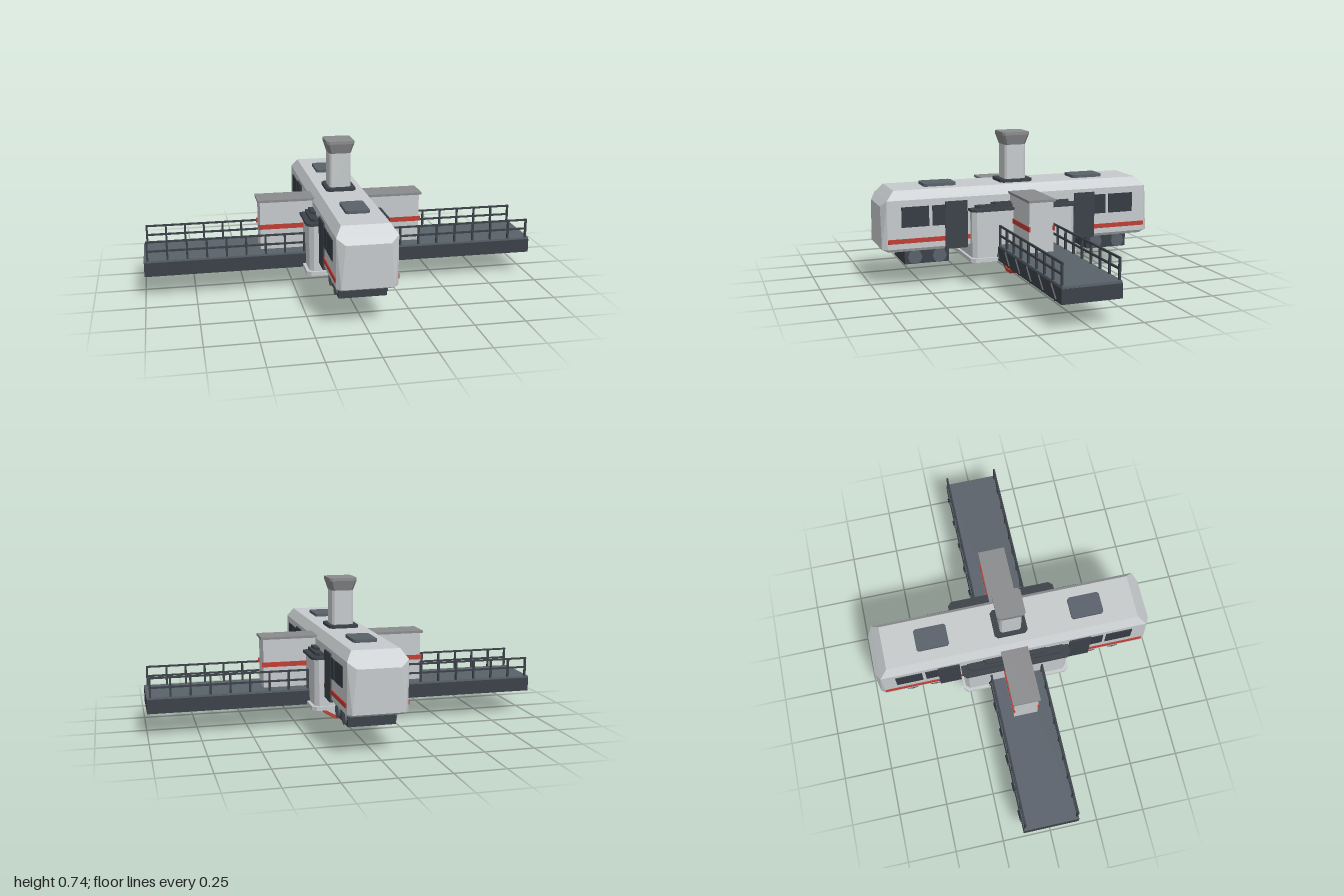
import * as THREE from 'three';
import { ConvexGeometry } from 'three/addons/geometries/ConvexGeometry.js';

const mat = (name, color) => {
  const m = new THREE.MeshStandardMaterial({ color });
  m.name = name;
  return m;
};

export function createModel() {
  const hull = mat('light grey hull', 0xc6cacc);
  const grey = mat('mid grey caps', 0x8a8b8d);
  const slate = mat('slate deck', 0x59616a);
  const dark = mat('charcoal', 0x3b4148);
  const glass = mat('dark glass', 0x343b42);
  const red = mat('red trim', 0xbf3d32);

  const model = new THREE.Group();
  model.name = 'railStation';
  const add = (name, geo, material, x = 0, y = 0, z = 0, parent = model) => {
    const m = new THREE.Mesh(geo, material);
    m.name = name;
    m.position.set(x, y, z);
    parent.add(m);
    return m;
  };
  const box = (name, material, w, h, d, x, y, z, parent) =>
    add(name, new THREE.BoxGeometry(w, h, d), material, x, y, z, parent);

  // Horizontal ring of a rectangle with cut corners
  const ring = (hx, hz, y, c) => {
    const p = [];
    for (const sx of [-1, 1]) for (const sz of [-1, 1])
      p.push(new THREE.Vector3(sx * hx, y, sz * (hz - c)), new THREE.Vector3(sx * (hx - c), y, sz * hz));
    return p;
  };
  // Upright block with cut corners, optionally flared at the top
  const block = (name, material, hx, hz, y0, y1, c, x = 0, z = 0, flare = 0) =>
    add(name, new ConvexGeometry([...ring(hx, hz, y0, c), ...ring(hx + flare, hz + flare, y1, c)]), material, x, 0, z);

  // Long body with sloped roof edges and tapered ends
  const pts = [];
  const corners = [
    [0.115, 0.49, 0.65], [0.145, 0.445, 0.69], [0.145, 0.205, 0.69], [0.135, 0.19, 0.67],
    [0.105, 0.415, 0.715], [0.125, 0.205, 0.715], [0.12, 0.19, 0.685],
  ];
  for (const [x, y, z] of corners) for (const sx of [-1, 1]) for (const sz of [-1, 1])
    pts.push(new THREE.Vector3(sx * x, y, sz * z));
  add('carBody', new ConvexGeometry(pts), hull);

  // Side stripes, windows, doors and undercarriage
  for (const sx of [-1, 1]) {
    box('sideStripe', red, 0.008, 0.022, 1.376, sx * 0.146, 0.244, 0);
    for (const sz of [-1, 1]) {
      box('window', glass, 0.008, 0.1, 0.137, sx * 0.146, 0.362, sz * 0.551);
      box('window', glass, 0.008, 0.1, 0.137, sx * 0.146, 0.362, sz * 0.397);
      box('door', dark, 0.02, 0.237, 0.114, sx * 0.143, 0.309, sz * 0.344);
      for (const z of [0.425, 0.55]) {
        const wheel = add('bogieWheel', new THREE.CylinderGeometry(0.036, 0.036, 0.02, 8), slate, sx * 0.115, 0.155, sz * z);
        wheel.rotation.z = Math.PI / 2;
      }
    }
  }
  for (const sz of [-1, 1]) {
    box('bogie', dark, 0.23, 0.07, 0.225, 0, 0.155, sz * 0.488);
    block('roofHatch', slate, 0.058, 0.083, 0.485, 0.505, 0.01, 0, sz * 0.4);
  }

  // Central hall with stepped dark roof
  block('hallFoot', hull, 0.21, 0.285, 0.12, 0.14, 0.02);
  block('hallWalls', hull, 0.195, 0.272, 0.14, 0.376, 0.02);
  block('hallEaves', dark, 0.212, 0.282, 0.374, 0.387, 0.02);
  block('hallRoofStep', dark, 0.185, 0.25, 0.387, 0.4, 0.02);
  block('hallRoofTop', dark, 0.17, 0.165, 0.4, 0.41, 0.02);

  // Chimney
  block('chimneyFoot', dark, 0.075, 0.085, 0.485, 0.505, 0.015);
  block('chimneyStem', hull, 0.055, 0.055, 0.5, 0.685, 0.01);
  block('chimneyFlare', grey, 0.056, 0.056, 0.68, 0.73, 0.012, 0, 0, 0.015);
  block('chimneyTop', grey, 0.071, 0.071, 0.73, 0.745, 0.012);

  // Side annexes with cap and red band
  for (const sx of [-1, 1]) {
    box('annex', hull, 0.285, 0.25, 0.125, sx * 0.272, 0.322, 0);
    box('annexCap', grey, 0.295, 0.012, 0.14, sx * 0.279, 0.452, 0);
    for (const sz of [-1, 1])
      box('annexBand', red, 0.29, 0.024, 0.009, sx * 0.277, 0.317, sz * 0.063);
  }

  // Cross platform
  box('deckBeam', dark, 2, 0.07, 0.286, 0, 0.155, 0);
  box('deckTop', slate, 2, 0.012, 0.28, 0, 0.194, 0);

  // Railings and diagonal side braces
  for (const sx of [-1, 1]) for (const sz of [-1, 1]) {
    const railing = new THREE.Group();
    railing.name = 'railing';
    model.add(railing);
    for (const y of [0.248, 0.296])
      box('rail', dark, 0.79, 0.009, 0.009, sx * 0.592, y, sz * 0.134, railing);
    for (let i = 0; i < 9; i++)
      box('post', dark, 0.01, 0.1, 0.01, sx * (0.982 - i * 0.0975), 0.249, sz * 0.134, railing);
    for (let i = 0; i < 6; i++) {
      const brace = box('brace', dark, 0.08, 0.014, 0.01, sx * (0.915 - i * 0.146), 0.155, sz * 0.145);
      brace.rotation.z = -Math.PI / 4;
    }
  }

  // Guide wheel under the hall: grey disc in a red rim
  const disc = add('guideDisc', new THREE.CylinderGeometry(0.108, 0.108, 0.024, 12), hull, 0, 0.118, 0);
  disc.rotation.set(Math.PI / 2, Math.PI / 12, 0);
  const rimShape = new THREE.Shape();
  const hole = new THREE.Path();
  for (let i = 0; i < 12; i++) {
    const a = (i + 0.5) * Math.PI / 6, c = Math.cos(a), s = Math.sin(a);
    rimShape[i ? 'lineTo' : 'moveTo'](c * 0.122, s * 0.122);
    hole[i ? 'lineTo' : 'moveTo'](c * 0.105, s * 0.105);
  }
  rimShape.closePath();
  hole.closePath();
  rimShape.holes.push(hole);
  const rim = new THREE.ExtrudeGeometry(rimShape, { depth: 0.044, bevelEnabled: false });
  add('guideRim', rim, red, 0, 0.118, -0.022);

  return model;
}
